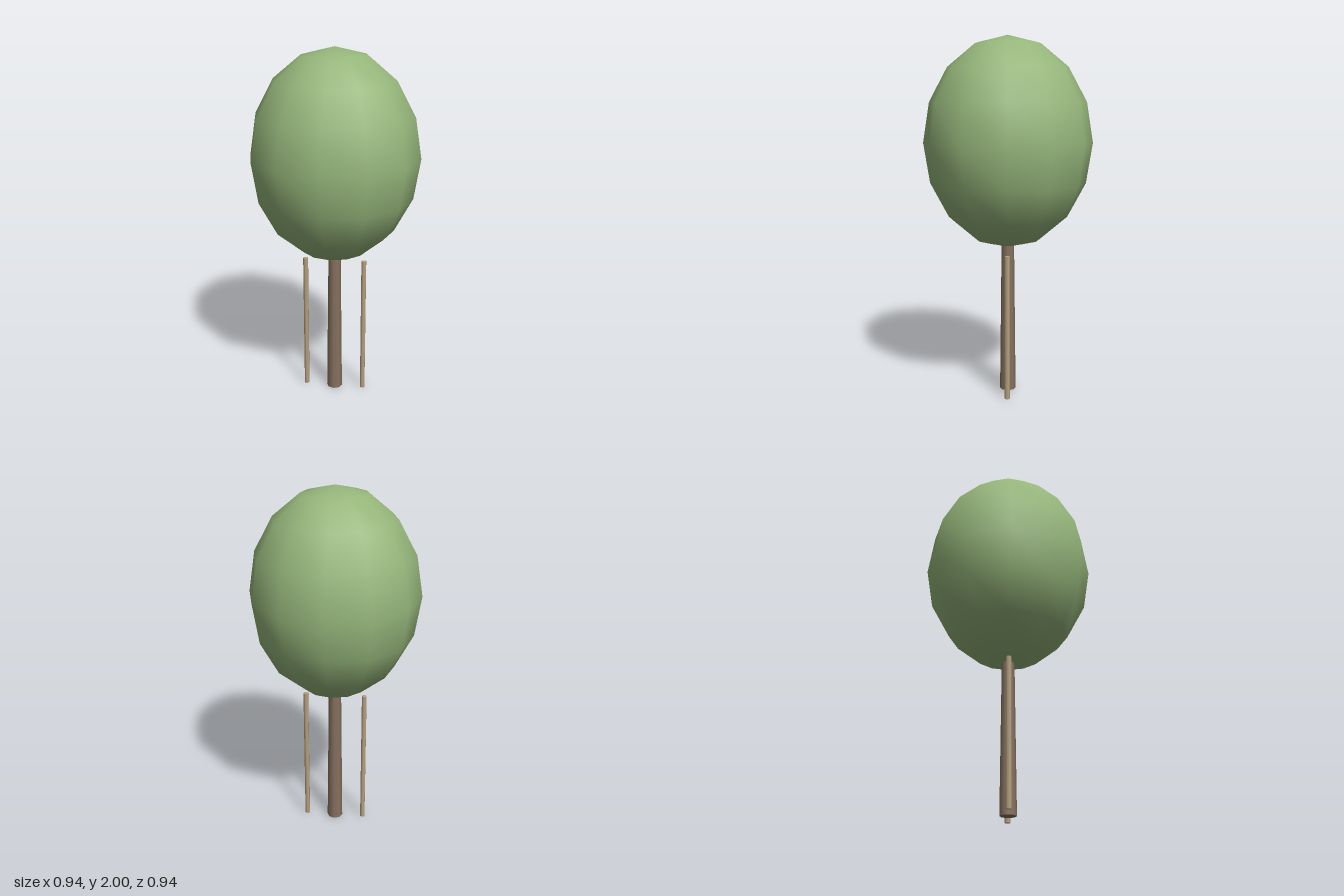
import * as THREE from 'three';

export function createModel() {
  const tree = new THREE.Group();
  tree.name = 'stakedTree';

  const material = (name, color) => {
    const m = new THREE.MeshStandardMaterial({ color });
    m.name = name;
    return m;
  };
  const leafGreen = material('leafGreen', 0x96b67b);
  const barkBrown = material('barkBrown', 0x86715f);
  const stakeTan = material('stakeTan', 0xb8a283);

  // Upright round post standing on the ground
  const post = (name, mat, rTop, rBottom, height, sides, x = 0) => {
    const mesh = new THREE.Mesh(new THREE.CylinderGeometry(rTop, rBottom, height, sides), mat);
    mesh.name = name;
    mesh.position.set(x, height / 2, 0);
    tree.add(mesh);
  };

  // Tapered trunk, its top tucked into the foliage
  post('trunk', barkBrown, 0.035, 0.045, 0.87, 8);

  // Support stakes on either side
  post('leftStake', stakeTan, 0.015, 0.015, 0.81, 6, 0.168);
  post('rightStake', stakeTan, 0.015, 0.015, 0.81, 6, -0.168);

  // Egg-shaped crown: a stretched smooth sphere
  const crown = new THREE.Mesh(new THREE.SphereGeometry(0.47, 12, 8), leafGreen);
  crown.name = 'crown';
  crown.scale.y = 0.584 / 0.47;
  crown.position.y = 1.416;
  tree.add(crown);

  return tree;
}
